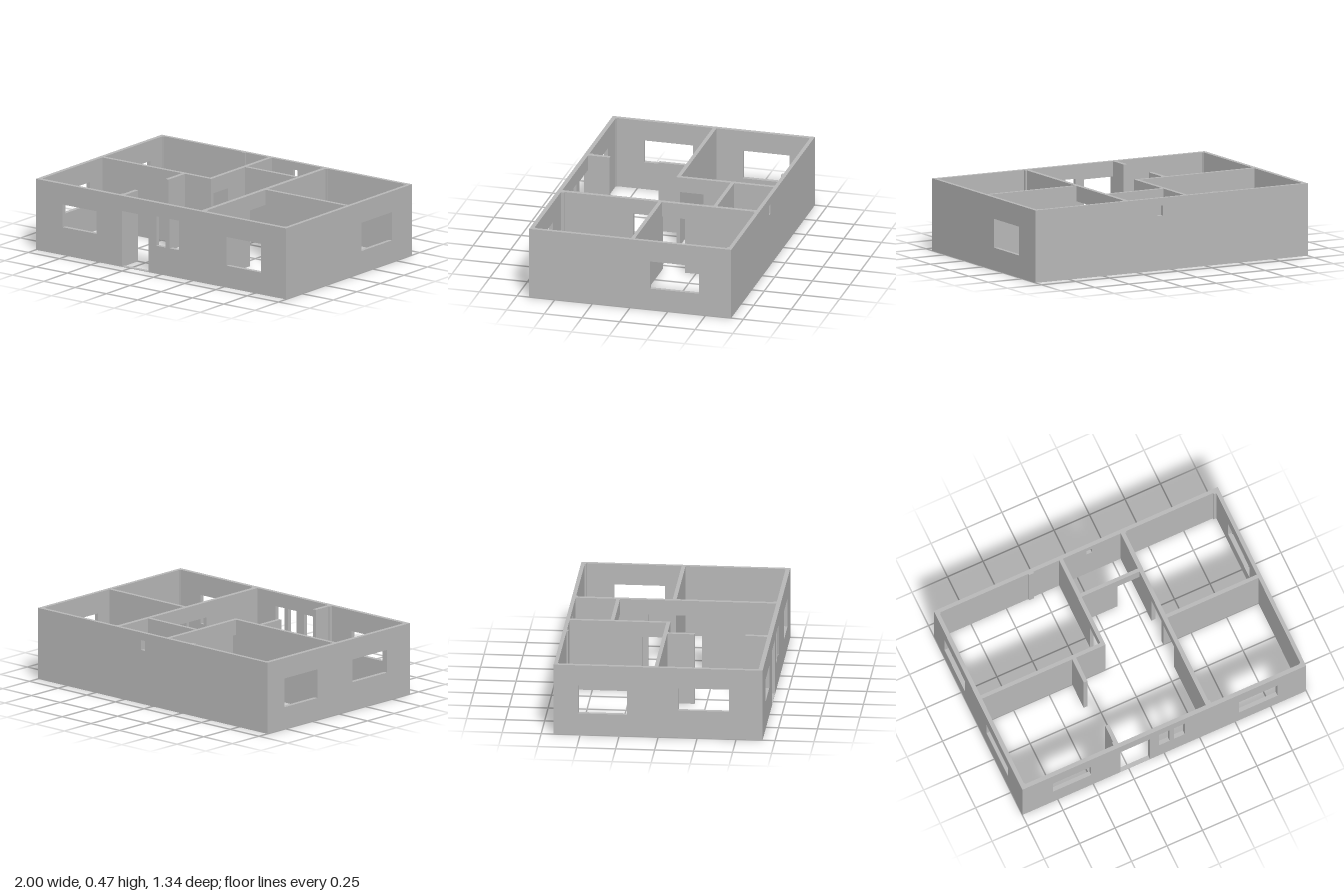
import * as THREE from 'three';

const H = 0.47;      // wall height
const DOOR = 0.37;   // door head height

export function createModel() {
  const house = new THREE.Group();
  house.name = 'housePlan';
  const plaster = new THREE.MeshStandardMaterial({ color: 0xb8b8b8 });
  plaster.name = 'greyPlaster';

  // Wall running from a to b along x or z, filling c..d across.
  // Openings are [start, end, bottom, top]; a bottom of 0 makes a doorway.
  function wall(name, axis, a, b, c, d, openings = []) {
    const shape = new THREE.Shape();
    shape.moveTo(a, 0);
    for (const [s, e, y0, y1] of openings) {
      if (y0 === 0) {
        shape.lineTo(s, 0);
        shape.lineTo(s, y1);
        shape.lineTo(e, y1);
        shape.lineTo(e, 0);
      } else {
        const hole = new THREE.Path();
        hole.moveTo(s, y0);
        hole.lineTo(s, y1);
        hole.lineTo(e, y1);
        hole.lineTo(e, y0);
        hole.closePath();
        shape.holes.push(hole);
      }
    }
    shape.lineTo(b, 0);
    shape.lineTo(b, H);
    shape.lineTo(a, H);
    shape.closePath();
    const geometry = new THREE.ExtrudeGeometry(shape, { depth: d - c, bevelEnabled: false });
    if (axis === 'z') geometry.rotateY(-Math.PI / 2).translate(d, 0, 0);
    else geometry.translate(0, 0, c);
    const mesh = new THREE.Mesh(geometry, plaster);
    mesh.name = name;
    house.add(mesh);
  }

  function block(name, x0, x1, z0, z1, h = H) {
    const mesh = new THREE.Mesh(new THREE.BoxGeometry(x1 - x0, h, z1 - z0), plaster);
    mesh.position.set((x0 + x1) / 2, h / 2, (z0 + z1) / 2);
    mesh.name = name;
    house.add(mesh);
  }

  // Outer walls
  wall('frontWall', 'x', -1, 1, 0.642, 0.67, [
    [-0.785, -0.515, 0.185, 0.335],
    [-0.31, -0.10, 0, DOOR],
    [-0.037, 0.038, 0.185, 0.38],
    [0.07, 0.145, 0.185, 0.38],
    [0.525, 0.798, 0.145, 0.335],
  ]);
  wall('backWall', 'x', -1, 1, -0.67, -0.645, [[0.065, 0.102, 0.355, 0.42]]);
  wall('leftWall', 'z', -0.645, 0.642, 0.975, 1, [[-0.457, -0.132, 0.145, 0.332]]);
  wall('rightWall', 'z', -0.645, 0.642, -1, -0.972, [
    [-0.51, -0.20, 0.145, 0.335],
    [0.13, 0.455, 0.185, 0.335],
  ]);

  // Inner walls
  wall('corridorWall', 'z', -0.645, 0.642, 0.305, 0.333, [
    [-0.18, -0.025, 0, DOOR],
    [0, 0.165, 0, DOOR],
  ]);
  wall('bedroomWall', 'z', -0.645, 0, -0.128, -0.102, [[-0.18, -0.025, 0, DOOR]]);
  wall('bathroomWall', 'x', -0.102, 0.315, -0.384, -0.36, [[0.15, 0.305, 0, DOOR]]);
  wall('rightDividingWall', 'x', -0.972, -0.128, -0.025, 0);
  wall('leftDividingWall', 'x', 0.333, 0.975, -0.025, 0);
  wall('innerStub', 'z', 0, 0.175, -0.337, -0.31);
  wall('entranceStub', 'z', 0.5, 0.642, -0.337, -0.31);

  // Slightly proud pillars where walls meet
  block('backPillar', -0.345, -0.31, -0.65, -0.635);
  block('frontPillar', -0.345, -0.33, 0.62, 0.65);
  block('backCorridorPillar', 0.32, 0.343, -0.65, -0.636);
  block('frontCorridorPillar', 0.32, 0.343, 0.62, 0.65);
  block('backCornerPillar', 0.955, 0.98, -0.65, -0.636);
  for (const sx of [-1, 1]) {
    for (const z of [-0.644, 0.641]) {
      const x = sx < 0 ? -0.971 : 0.974;
      block('cornerPillar', x - 0.006, x + 0.006, z - 0.006, z + 0.006);
    }
  }

  // Thin sill under the entrance
  block('threshold', -0.31, -0.10, 0.642, 0.67, 0.004);

  return house;
}
